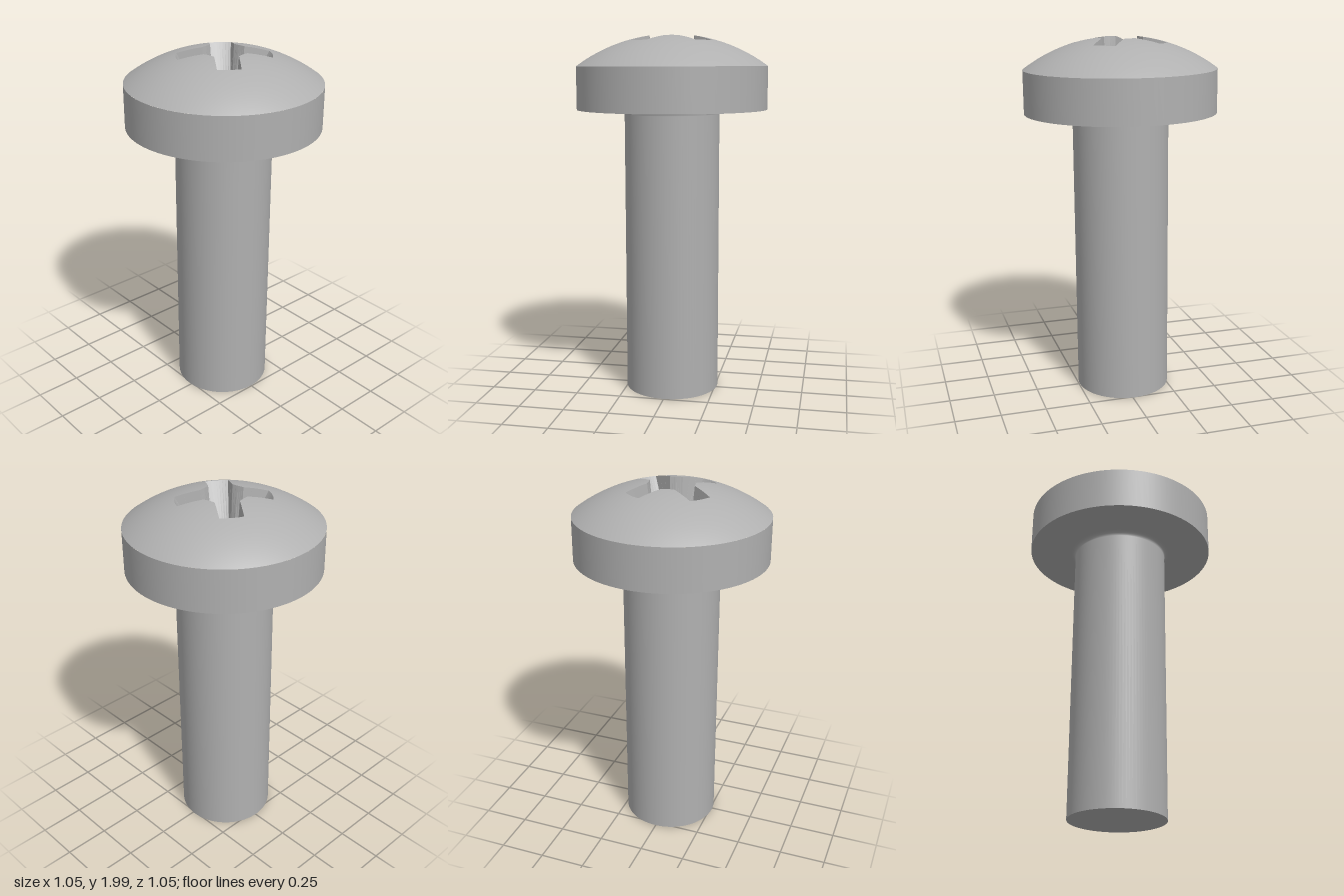
import * as THREE from 'three';

const HEAD_R = 0.525, EDGE_Y = 1.825, TOP_Y = 1.998;
const RISE = TOP_Y - EDGE_Y;
const SPHERE_R = (HEAD_R ** 2 + RISE ** 2) / (2 * RISE);
const SPHERE_Y = TOP_Y - SPHERE_R;
const FLOOR_Y = 1.69, APEX_Y = 1.65;
const domeY = (x, z) => SPHERE_Y + Math.sqrt(SPHERE_R ** 2 - x * x - z * z);

// Upward-facing skin between closed loops listed from the centre outward
function loft(loops) {
  const pos = [];
  for (let k = 0; k < loops.length - 1; k++) {
    const a = loops[k], b = loops[k + 1], n = a.length;
    for (let i = 0; i < n; i++) {
      const j = (i + 1) % n;
      for (const p of [a[i], a[j], b[i], a[j], b[j], b[i]]) pos.push(p.x, p.y, p.z);
    }
  }
  const g = new THREE.BufferGeometry();
  g.setAttribute('position', new THREE.Float32BufferAttribute(pos, 3));
  g.computeVertexNormals();
  return g;
}

// Cross outline: four wings, each with an arc tip, straight sides and angled inner corners
function crossLoop(tip, halfWidth, corner, cornerWidth, notch, heightAt) {
  const tipA = Math.asin(halfWidth / tip);
  const at = (r, a) => new THREE.Vector2(r * Math.cos(a), r * Math.sin(a));
  const stops = [
    at(notch, -Math.PI / 4), new THREE.Vector2(corner, -cornerWidth), at(tip, -tipA),
    at(tip, tipA), new THREE.Vector2(corner, cornerWidth), at(notch, Math.PI / 4),
  ];
  const steps = [3, 3, 8, 3, 3];
  const loop = [];
  for (let q = 0; q < 4; q++) {
    const turn = THREE.MathUtils.degToRad(35 + 90 * q);
    for (let s = 0; s < 5; s++) {
      for (let i = 0; i < steps[s]; i++) {
        const t = i / steps[s];
        const p = s === 2 ? at(tip, tipA * (2 * t - 1)) : stops[s].clone().lerp(stops[s + 1], t);
        p.rotateAround(new THREE.Vector2(), turn);
        loop.push(new THREE.Vector3(p.x, heightAt(p.x, p.y), p.y));
      }
    }
  }
  return loop;
}

export function createModel() {
  const root = new THREE.Group();
  root.name = 'screw';
  const steel = new THREE.MeshStandardMaterial({ color: 0xb0b0b0 });
  steel.name = 'steel grey';

  // The whole screw leans very slightly
  const body = new THREE.Group();
  body.name = 'leaningBody';
  body.rotation.z = -0.0095;
  body.position.set(-0.0175, 0.0025, 0);
  root.add(body);

  const add = (name, geometry) => {
    const m = new THREE.Mesh(geometry, steel);
    m.name = name;
    body.add(m);
  };
  const lathe = (name, pts) =>
    add(name, new THREE.LatheGeometry(pts.map(([x, y]) => new THREE.Vector2(x, y)), 96));

  // Shank with a small fillet under the head
  lathe('shankEnd', [[0, 0], [0.2625, 0]]);
  const shank = [[0.2625, 0], [0.2625, 1.565]];
  for (let i = 1; i <= 5; i++) {
    const a = (i / 5) * Math.PI / 2;
    shank.push([0.2875 - 0.025 * Math.cos(a), 1.565 + 0.025 * Math.sin(a)]);
  }
  lathe('shank', shank);

  // Head underside and rim
  lathe('headUnderside', [[0.2875, 1.59], [HEAD_R, 1.59]]);
  lathe('headRim', [[HEAD_R, 1.59], [HEAD_R, EDGE_Y]]);

  // Domed top, running from the cross opening out to the rim
  const opening = crossLoop(0.251, 0.061, 0.112, 0.063, 0.122, domeY);
  const rows = [];
  for (let k = 0; k <= 10; k++) {
    rows.push(opening.map((p) => {
      const r = Math.hypot(p.x, p.z);
      const s = THREE.MathUtils.lerp(r, HEAD_R, k / 10) / r;
      return new THREE.Vector3(p.x * s, domeY(p.x * s, p.z * s), p.z * s);
    }));
  }
  const dome = loft(rows);
  const pos = dome.attributes.position;
  for (let i = 0; i < pos.count; i++) {
    dome.attributes.normal.setXYZ(i, pos.getX(i) / SPHERE_R,
      (pos.getY(i) - SPHERE_Y) / SPHERE_R, pos.getZ(i) / SPHERE_R);
  }
  add('headDome', dome);

  // Tapered cross recess with a shallow conical floor
  const floor = crossLoop(0.106, 0.042, 0.09, 0.046, 0.087, () => FLOOR_Y);
  add('recessWalls', loft([floor, opening]));
  const hub = floor.map((p) => new THREE.Vector3(p.x * 1e-3, APEX_Y, p.z * 1e-3));
  add('recessFloor', loft([hub, floor]));

  return root;
}
